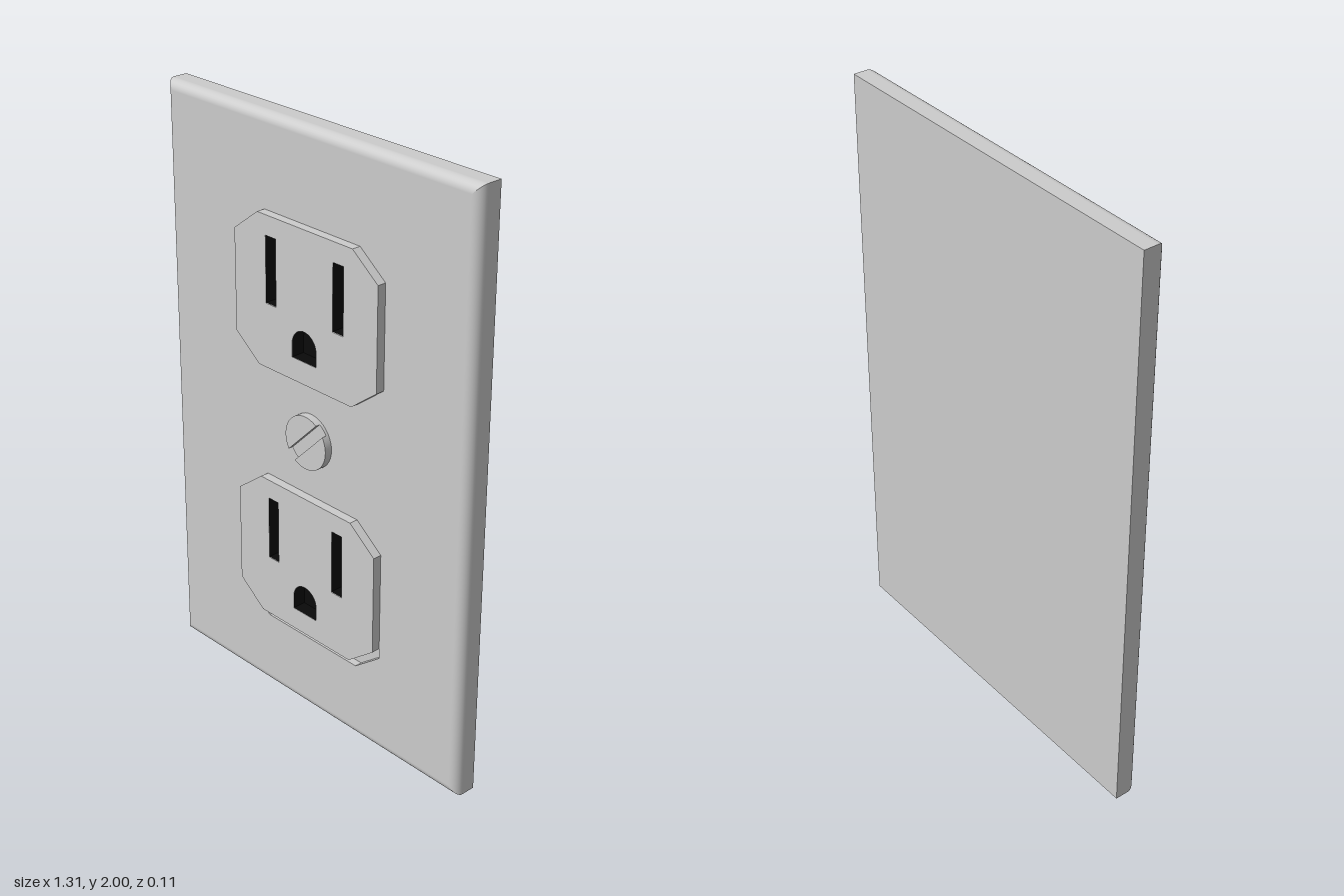
import * as THREE from 'three';

const grey = new THREE.MeshStandardMaterial({ color: 0xcccccc });
const black = new THREE.MeshStandardMaterial({ color: 0x0a0a0a, side: THREE.BackSide });

const W = 0.655, H = 1, BACK = -0.055, FRONT = 0.025, R = 0.032; // plate half sizes and edge radius
const FLOOR = 0, FACE = 0.055;                                    // recess floor, receptacle face

function add(parent, name, geometry, material = grey, x = 0, y = 0, z = 0) {
  const mesh = new THREE.Mesh(geometry, material);
  mesh.name = name;
  mesh.position.set(x, y, z);
  parent.add(mesh);
  return mesh;
}

const polygon = (pts) => pts.map(([x, y]) => new THREE.Vector2(x, y));
const rect = (x0, y0, x1, y1) => polygon([[x0, y0], [x1, y0], [x1, y1], [x0, y1]]);
const extrude = (shape, depth) => new THREE.ExtrudeGeometry(shape, { depth, bevelEnabled: false });

// Octagon with cut corners, centred on height cy
function octagon(cy) {
  const a = 0.31, b = 0.25, i = 0.205, j = 0.17;
  return polygon([[i, -b], [a, -j], [a, j], [i, b], [-i, b], [-a, j], [-a, -j], [-i, -b]]
    .map(([x, y]) => [x, y + cy]));
}

// Ground hole: flat below, round above
function groundHole() {
  const pts = [[-0.053, -0.175], [0.053, -0.175]];
  for (let k = 0; k <= 16; k++) {
    const t = (k / 16) * Math.PI;
    pts.push([0.053 * Math.cos(t), -0.128 + 0.053 * Math.sin(t)]);
  }
  return polygon(pts);
}

// One side of the plate: straight wall, then a quarter round, mitred at both ends
function edgeStrip(half, out) {
  const pos = [], nor = [], idx = [];
  const rows = [[0, BACK, 0]];
  for (let k = 0; k <= 8; k++) {
    const t = (k / 8) * Math.PI / 2;
    rows.push([R * (1 - Math.cos(t)), FRONT - R + R * Math.sin(t), t]);
  }
  rows.forEach(([inset, z, t], r) => {
    for (const s of [-1, 1]) {
      pos.push(out - inset, s * (half - inset), z);
      nor.push(Math.cos(t), 0, Math.sin(t));
    }
    if (r) {
      const a = 2 * r - 2;
      idx.push(a, a + 1, a + 3, a, a + 3, a + 2);
    }
  });
  const g = new THREE.BufferGeometry();
  g.setAttribute('position', new THREE.Float32BufferAttribute(pos, 3));
  g.setAttribute('normal', new THREE.Float32BufferAttribute(nor, 3));
  g.setIndex(idx);
  return g;
}

function createPlate() {
  const plate = new THREE.Group();
  plate.name = 'wallPlate';
  for (let k = 0; k < 4; k++) {
    const g = k % 2 ? edgeStrip(W, H) : edgeStrip(H, W);
    add(plate, 'roundedEdge', g.rotateZ(k * Math.PI / 2), grey, 0, H);
  }
  // Front panel with two openings
  const panel = new THREE.Shape(rect(-W + R, R, W - R, 2 * H - R));
  const openings = [1.45, 0.519];
  openings.forEach((y) => panel.holes.push(new THREE.Path(octagon(y))));
  add(plate, 'frontPanel', extrude(panel, FRONT - FLOOR), grey, 0, 0, FLOOR);
  openings.forEach((y) =>
    add(plate, 'openingFloor', new THREE.ShapeGeometry(new THREE.Shape(octagon(y))), grey, 0, 0, FLOOR));
  add(plate, 'backPanel', new THREE.PlaneGeometry(2 * W, 2 * H).rotateY(Math.PI), grey, 0, H, BACK);
  return plate;
}

function createReceptacle() {
  const group = new THREE.Group();
  group.name = 'receptacle';
  const slots = [
    ['leftSlot', rect(0.124, -0.035, 0.169, 0.185)],
    ['rightSlot', rect(-0.169, -0.035, -0.124, 0.185)],
    ['groundHole', groundHole()],
  ];
  const face = new THREE.Shape(octagon(0));
  slots.forEach(([, pts]) => face.holes.push(new THREE.Path(pts)));
  add(group, 'receptacleFace', extrude(face, FACE - FLOOR), grey, 0, 0, FLOOR);
  // Dark linings, a touch smaller than the holes
  for (const [name, pts] of slots) {
    const g = extrude(new THREE.Shape(pts), 0.045);
    g.computeBoundingBox();
    const c = g.boundingBox.getCenter(new THREE.Vector3());
    g.translate(-c.x, -c.y, 0).scale(0.98, 0.98, 1);
    add(group, name, g, black, c.x, c.y, FACE - 0.045);
  }
  return group;
}

// Round screw head: a base disc and two segments with the slot between
function createScrew() {
  const screw = new THREE.Group();
  screw.name = 'screw';
  const r = 0.09, half = 0.02, a = Math.asin(half / r);
  add(screw, 'screwBase', new THREE.CylinderGeometry(r, r, 0.02, 40).rotateX(Math.PI / 2), grey, 0, 0, 0.025);
  const segment = new THREE.Shape();
  segment.absarc(0, 0, r, a, Math.PI - a, false);
  segment.closePath();
  for (const turn of [0, Math.PI]) {
    const g = new THREE.ExtrudeGeometry(segment, { depth: 0.016, bevelEnabled: false, curveSegments: 24 });
    add(screw, 'screwHeadHalf', g.rotateZ(turn), grey, 0, 0, 0.035);
  }
  screw.rotation.z = Math.PI / 4;
  return screw;
}

export function createModel() {
  const model = new THREE.Group();
  model.name = 'wallOutlet';
  model.add(createPlate());
  for (const y of [1.45, 0.555]) {
    const receptacle = createReceptacle();
    receptacle.position.y = y;
    model.add(receptacle);
  }
  const screw = createScrew();
  screw.position.y = 1;
  model.add(screw);
  return model;
}
